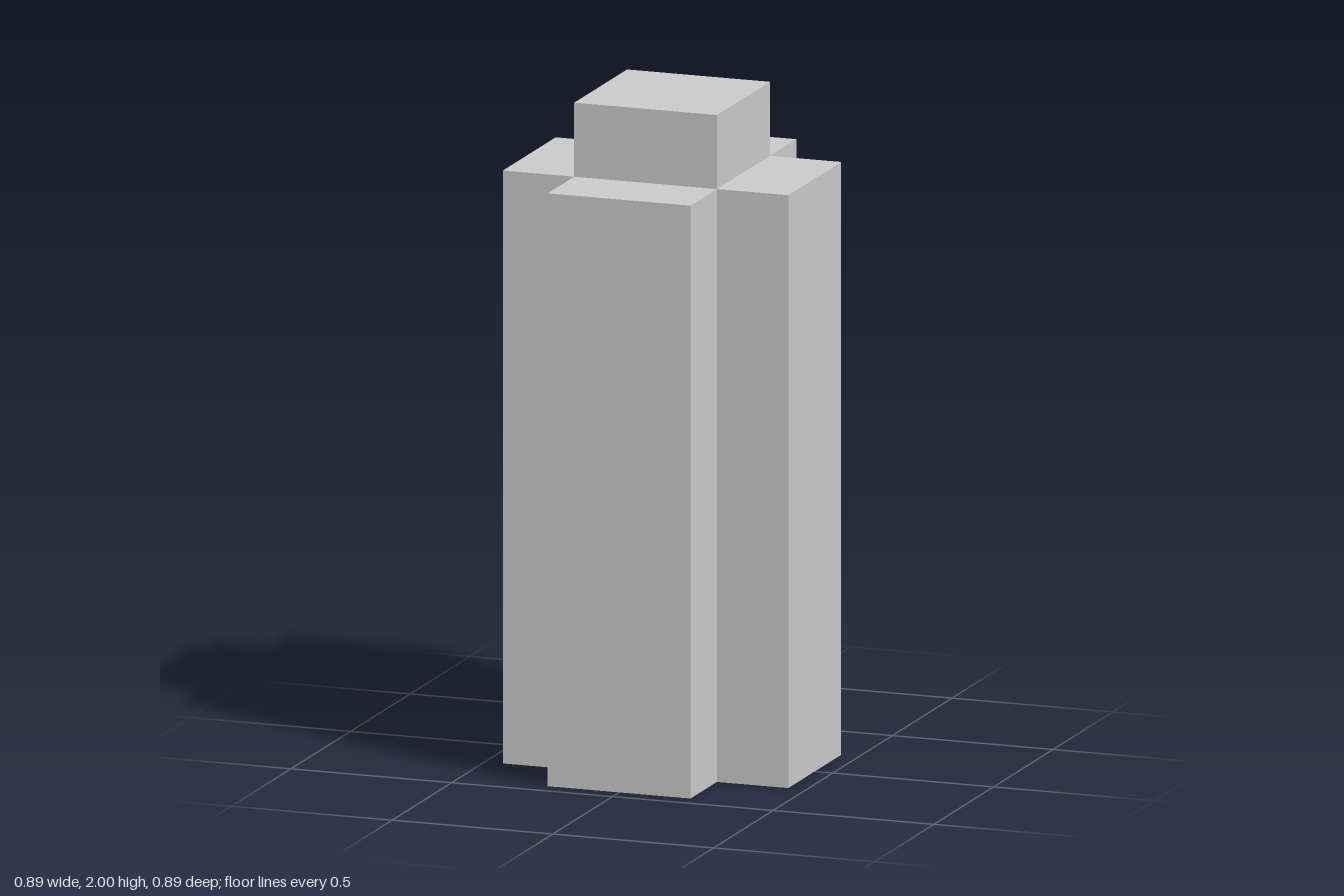
import * as THREE from 'three';

const INNER = 0.222;      // half width of the central tower
const OUTER = 0.444;      // half span across the wings
const SHOULDER = 1.778;   // height of the wings
const HEIGHT = 2;

export function createModel() {
  const group = new THREE.Group();
  const material = new THREE.MeshStandardMaterial({ color: 0xcccccc, flatShading: true });

  // Cross-shaped shaft: one corner notch, turned four times
  const outline = [];
  for (let i = 0; i < 4; i++) {
    for (const [x, y] of [[OUTER, -INNER], [OUTER, INNER], [INNER, INNER]]) {
      outline.push(new THREE.Vector2(x, y).rotateAround(new THREE.Vector2(), i * Math.PI / 2));
    }
  }
  const shaftGeometry = new THREE.ExtrudeGeometry(new THREE.Shape(outline), {
    depth: SHOULDER, bevelEnabled: false,
  });
  shaftGeometry.rotateX(-Math.PI / 2);
  const shaft = new THREE.Mesh(shaftGeometry, material);
  shaft.name = 'crossShaft';
  group.add(shaft);

  // Square block rising above the shoulders
  const top = new THREE.Mesh(
    new THREE.BoxGeometry(2 * INNER, HEIGHT - SHOULDER, 2 * INNER), material);
  top.position.y = (HEIGHT + SHOULDER) / 2;
  top.name = 'topBlock';
  group.add(top);

  return group;
}
